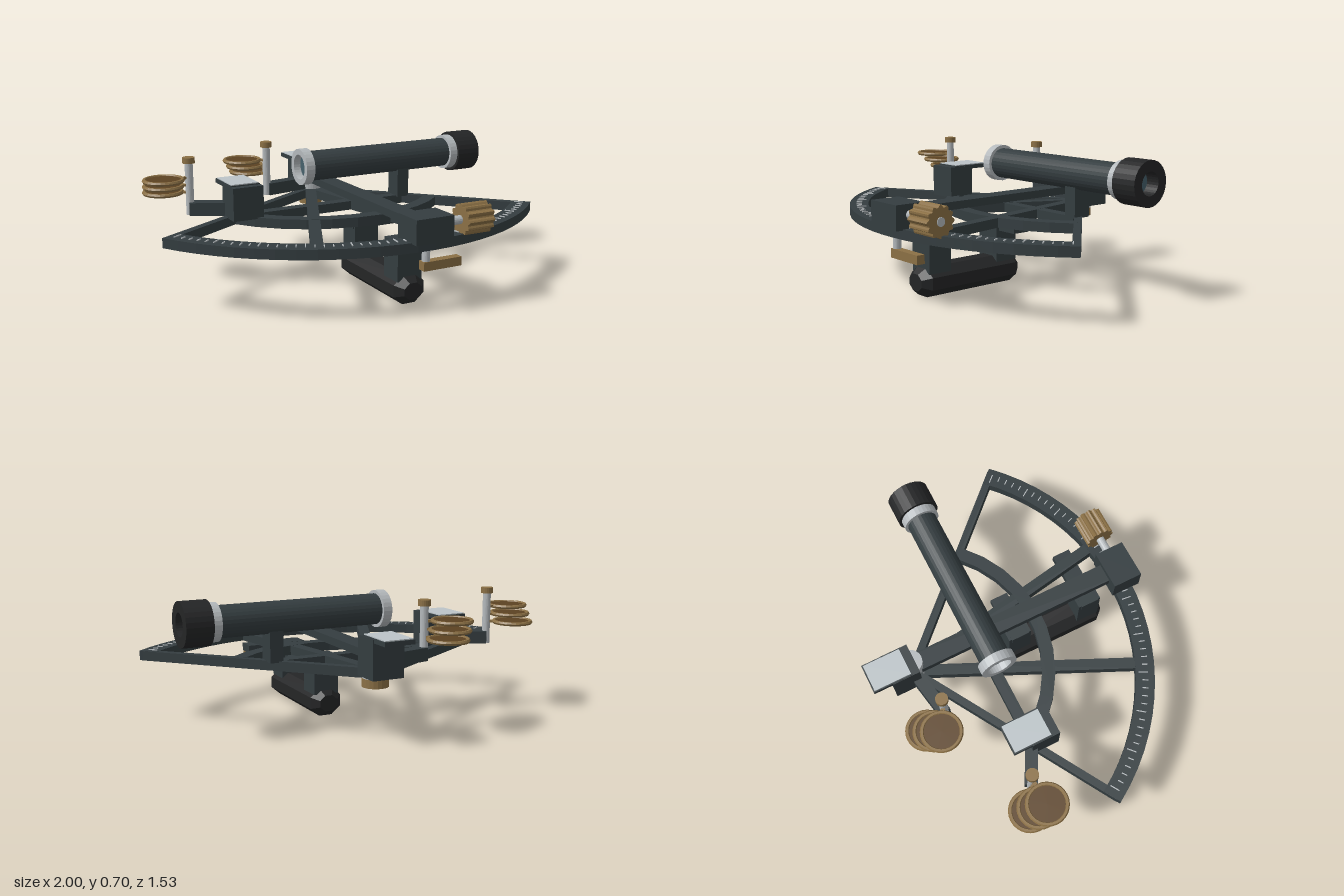
import * as THREE from 'three';

const mat = (color) => new THREE.MeshStandardMaterial({ color, flatShading: true });
const PX = 0.1, PZ = -0.54;          // pivot of the index arm
const TOP = 0.372, THICK = 0.05;     // frame plate
const rad = THREE.MathUtils.degToRad;

export function createModel() {
  const model = new THREE.Group();
  const body = mat(0x343d40), black = mat(0x242526), brass = mat(0x8b7045);
  const silver = mat(0xb4b9bc), mirror = mat(0xbcc4c8), amber = mat(0x5c4222), glass = mat(0x45606b);

  const add = (name, geo, material, x = 0, y = 0, z = 0, parent = model) => {
    const m = new THREE.Mesh(geo, material);
    m.name = name;
    m.position.set(x, y, z);
    parent.add(m);
    return m;
  };
  // box given by its limits on each axis
  const box = (name, material, x0, x1, y0, y1, z0, z1, parent) =>
    add(name, new THREE.BoxGeometry(x1 - x0, y1 - y0, z1 - z0), material,
      (x0 + x1) / 2, (y0 + y1) / 2, (z0 + z1) / 2, parent);
  // flat bar between two points of the xz plane
  const bar = (name, material, ax, az, bx, bz, width, y0, y1, parent) => {
    const m = add(name, new THREE.BoxGeometry(width, y1 - y0, Math.hypot(bx - ax, bz - az)), material,
      (ax + bx) / 2, (y0 + y1) / 2, (az + bz) / 2, parent);
    m.rotation.y = Math.atan2(bx - ax, bz - az);
    return m;
  };
  const post = (name, material, r, x, z, y0, y1, parent, sides = 20) =>
    add(name, new THREE.CylinderGeometry(r, r, y1 - y0, sides), material, x, (y0 + y1) / 2, z, parent);
  const polar = (r, deg) => [PX + r * Math.sin(rad(deg)), PZ + r * Math.cos(rad(deg))];

  // flat ring sector around the pivot
  const sector = (name, r0, r1, from, to, n) => {
    const pts = [];
    for (let i = 0; i <= n; i++) pts.push(new THREE.Vector2(...polar(r1, from + (to - from) * i / n)));
    for (let i = n; i >= 0; i--) pts.push(new THREE.Vector2(...polar(r0, from + (to - from) * i / n)));
    const geo = new THREE.ExtrudeGeometry(new THREE.Shape(pts), { depth: THICK, bevelEnabled: false });
    geo.rotateX(Math.PI / 2);
    add(name, geo, body, 0, TOP, 0);
  };

  // frame: scale arc, inner arc and spokes
  sector('scaleArc', 1.17, 1.27, -60, 45, 24);
  sector('innerArc', 0.68, 0.75, -59, 44, 10);
  for (const [name, deg, width, len] of [
    ['leftEdgeSpoke', 44.2, 0.04, 1.25], ['rightEdgeSpoke', -59.2, 0.04, 1.25],
    ['leftSpoke', 10, 0.06, 1.2], ['rightSpoke', -25, 0.06, 1.2],
  ]) bar(name, body, ...polar(0.03, deg), ...polar(len, deg), width, TOP - THICK, TOP - 0.001);
  box('crossBar', body, -0.52, 0.47, TOP - THICK, TOP - 0.002, -0.185, -0.125);

  // scale marks, every fifth one longer
  for (let i = 0; i <= 50; i++) {
    const deg = -58 + i * 2.03, len = i % 5 ? 0.03 : 0.05;
    bar('scaleMark', silver, ...polar(1.235 - len, deg), ...polar(1.235, deg), 0.005, TOP - 0.002, TOP + 0.005);
  }

  // pivot and index arm
  post('pivotDisc', brass, 0.066, PX, PZ, 0.282, 0.325);
  post('pivotPost', silver, 0.065, PX, PZ, 0.323, 0.51, model, 28);
  box('indexArm', body, 0.05, 0.15, 0.42, 0.46, PZ, 0.65);
  box('indexBlock', body, -0.005, 0.205, 0.367, 0.49, 0.603, 0.763);

  // mirror blocks with an overhanging top plate
  const mirrorUnit = (name, x, z, y0) => {
    const g = new THREE.Group();
    g.name = name;
    model.add(g);
    box('mirrorBlock', body, x - 0.083, x + 0.083, y0, 0.537, z - 0.15, z, g);
    box('mirrorPlate', body, x - 0.08, x + 0.08, 0.52, 0.542, z - 0.253, z - 0.04, g);
    box('mirrorGlass', mirror, x - 0.074, x + 0.074, 0.535, 0.547, z - 0.246, z - 0.045, g);
  };
  mirrorUnit('indexMirror', 0.1, -0.517, 0.34);
  mirrorUnit('horizonMirror', -0.5, -0.035, 0.365);

  // fluted drum, its shaft, and the clamp below
  const flutes = [];
  for (let i = 0; i < 60; i++) {
    const a = i / 60 * Math.PI * 2, r = 0.072 + 0.007 * Math.cos(a * 12);
    flutes.push(new THREE.Vector2(r * Math.cos(a), r * Math.sin(a)));
  }
  const drum = new THREE.ExtrudeGeometry(new THREE.Shape(flutes), { depth: 0.15, bevelEnabled: false });
  drum.rotateY(Math.PI / 2);
  add('micrometerDrum', drum, brass, 0.295, 0.438, 0.685);
  const shaft = new THREE.CylinderGeometry(0.022, 0.022, 0.265, 16);
  shaft.rotateZ(Math.PI / 2);
  add('drumShaft', shaft, silver, 0.316, 0.438, 0.685);
  post('clampPost', silver, 0.02, 0.1, 0.688, 0.25, 0.4);
  box('clampLever', brass, 0.077, 0.292, 0.215, 0.26, 0.666, 0.71);

  // handle: eight-sided grip with chamfered ends, two posts and their mounts
  const c = Math.cos(Math.PI / 8);
  const profile = [[0, 0], [0.05, 0], [0.0875, 0.042], [0.0875, 0.578], [0.05, 0.62], [0, 0.62]]
    .map(([r, y]) => new THREE.Vector2(r / c, y));
  const grip = new THREE.LatheGeometry(profile, 8, Math.PI / 8);
  grip.rotateX(Math.PI / 2);
  grip.scale(1, 0.85, 1);
  add('handleGrip', grip, black, 0.1, 0.0745, -0.035);
  for (const [z0, z1, reach] of [[-0.005, 0.125, 0.287], [0.42, 0.55, 0.363]]) {
    box('handlePost', body, 0.03, 0.17, 0.12, 0.323, z0, z1);
    box('handleMount', body, 0.025, reach, 0.283, 0.324, z0 + 0.015, z1 - 0.015);
  }

  // telescope along x, lathed section by section
  const scope = new THREE.Group();
  scope.name = 'telescope';
  scope.position.set(0, 0.585, -0.155);
  model.add(scope);
  const tube = (name, material, x0, x1, r, hole) => {
    const pts = [[hole, x0], [r, x0], [r, x1], [hole, x1], [hole, x0]];
    const geo = new THREE.LatheGeometry(pts.map((p) => new THREE.Vector2(...p)), 28);
    geo.rotateZ(-Math.PI / 2);
    add(name, geo, material, 0, 0, 0, scope);
  };
  tube('scopeTube', body, -0.11, 0.76, 0.08, 0.06);
  tube('objectiveRing', silver, -0.157, -0.108, 0.097, 0.066);
  tube('eyepieceRing', silver, 0.755, 0.802, 0.096, 0.06);
  tube('eyepiece', black, 0.8, 0.937, 0.112, 0.058);
  for (const x of [-0.11, 0.86]) {
    const lens = new THREE.CylinderGeometry(0.068, 0.068, 0.015, 28);
    lens.rotateZ(Math.PI / 2);
    add('scopeLens', lens, glass, x, 0, 0, scope);
  }
  box('scopeBracket', body, 0.43, 0.5, 0.365, 0.53, -0.205, -0.105);

  // shade glasses: arm, post and three fanned discs
  const shades = (name, x, z, ax, az, discs) => {
    const g = new THREE.Group();
    g.name = name;
    model.add(g);
    bar('shadeArm', body, x, z, ax, az, 0.065, 0.37, 0.437, g);
    post('shadePost', silver, 0.021, x, z, 0.37, 0.645, g);
    post('shadeCap', brass, 0.032, x, z, 0.642, 0.672, g);
    discs.forEach(([dx, dz], i) => {
      const y = 0.488 + i * 0.0395;
      const ring = new THREE.TorusGeometry(0.097, 0.011, 6, 28);
      ring.rotateX(Math.PI / 2);
      add('shadeRing', ring, brass, dx, y, dz, g);
      post('shadeGlass', amber, 0.094, dx, dz, y - 0.004, y + 0.004, g, 28);
      bar('shadeLink', brass, x, z, dx + (x - dx) * 0.75, dz + (z - dz) * 0.75, 0.02, y - 0.006, y + 0.006, g);
    });
  };
  shades('horizonShades', -0.73, -0.27, -0.54, -0.17, [[-0.85, -0.34], [-0.86, -0.3], [-0.87, -0.26]]);
  shades('indexShades', -0.2, -0.49, 0.05, -0.535, [[-0.26, -0.615], [-0.29, -0.585], [-0.32, -0.555]]);

  return model;
}
